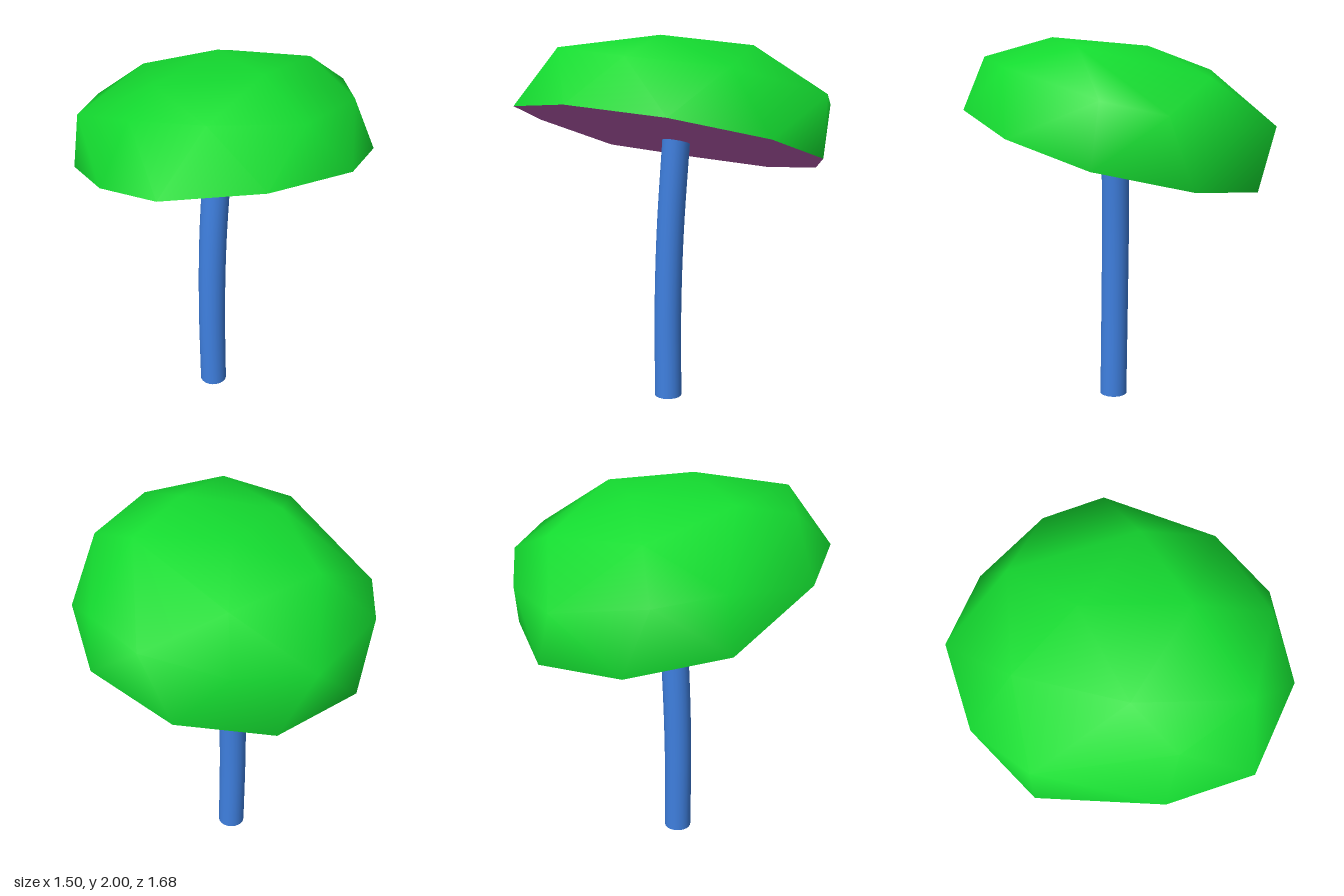
import * as THREE from 'three';

// Cap cross-sections, each running round from the front towards +x
const crown = [0.02, 1.955, -0.2];
const upperRing = [
  [0.13, 2.0, 0.3], [0.46, 1.95, -0.02], [0.18, 1.8, -0.6], [-0.33, 1.83, -0.42], [-0.36, 1.93, 0.14],
];
const middleRing = [
  [0.23, 1.9, 0.66], [0.58, 1.85, 0.32], [0.74, 1.71, -0.27], [0.59, 1.64, -0.55], [0.23, 1.57, -0.78],
  [-0.16, 1.55, -0.84], [-0.57, 1.62, -0.57], [-0.71, 1.65, -0.24], [-0.52, 1.88, 0.4], [-0.22, 1.94, 0.66],
];
const rim = [
  [0.01, 1.68, 0.84], [0.47, 1.63, 0.64], [0.745, 1.52, 0.22], [0.75, 1.39, -0.23], [0.46, 1.28, -0.63],
  [0.01, 1.23, -0.8], [-0.46, 1.27, -0.65], [-0.75, 1.36, -0.23], [-0.67, 1.55, 0.39], [-0.46, 1.65, 0.75],
];

function facesToGeometry(points, faces) {
  const geometry = new THREE.BufferGeometry();
  geometry.setAttribute('position', new THREE.Float32BufferAttribute(points.flat(), 3));
  geometry.setIndex(faces.flat());
  geometry.computeVertexNormals();
  return geometry;
}

function part(name, geometry, color, options = {}) {
  const mesh = new THREE.Mesh(geometry, new THREE.MeshStandardMaterial({ color, ...options }));
  mesh.name = name;
  return mesh;
}

// Smooth dome: crown, ring of 5, ring of 10, rim of 10
function domeGeometry() {
  const upper = (i) => 1 + (i % 5);
  const middle = (i) => 6 + ((i + 10) % 10);
  const edge = (i) => 16 + (i % 10);
  const faces = [];
  for (let j = 0; j < 5; j++) {
    faces.push(
      [0, upper(j), upper(j + 1)],
      [upper(j), middle(2 * j - 1), middle(2 * j)],
      [upper(j), middle(2 * j), middle(2 * j + 1)],
      [upper(j), middle(2 * j + 1), upper(j + 1)],
    );
  }
  for (let k = 0; k < 10; k++) {
    faces.push([middle(k), edge(k), edge(k + 1)], [middle(k), edge(k + 1), middle(k + 1)]);
  }
  return facesToGeometry([crown, ...upperRing, ...middleRing, ...rim], faces);
}

// Flat underside, fanned from the rim's right corner
function undersideGeometry() {
  const faces = [];
  for (let i = 1; i < 9; i++) faces.push([7, (7 + i + 1) % 10, (7 + i) % 10]);
  return facesToGeometry(rim, faces);
}

export function createModel() {
  const group = new THREE.Group();
  group.name = 'mushroom';

  const cap = new THREE.Group();
  cap.name = 'cap';
  cap.add(
    part('capDome', domeGeometry(), 0x14dc30),
    part('capUnderside', undersideGeometry(), 0xc060b8, { flatShading: true }),
  );
  group.add(cap);

  // Gently bent stem
  const path = new THREE.CatmullRomCurve3([
    new THREE.Vector3(-0.06, 0.005, 0.035),
    new THREE.Vector3(-0.065, 0.5, 0.03),
    new THREE.Vector3(-0.055, 0.95, 0.02),
    new THREE.Vector3(-0.02, 1.5, 0.005),
  ]);
  const stem = new THREE.Group();
  stem.name = 'stem';
  const base = part('stemBase', new THREE.CircleGeometry(0.075, 20), 0x3f80e0);
  base.position.copy(path.getPoint(0));
  base.rotation.x = Math.PI / 2;
  stem.add(part('stemShaft', new THREE.TubeGeometry(path, 16, 0.075, 20), 0x3f80e0), base);
  group.add(stem);

  return group;
}
